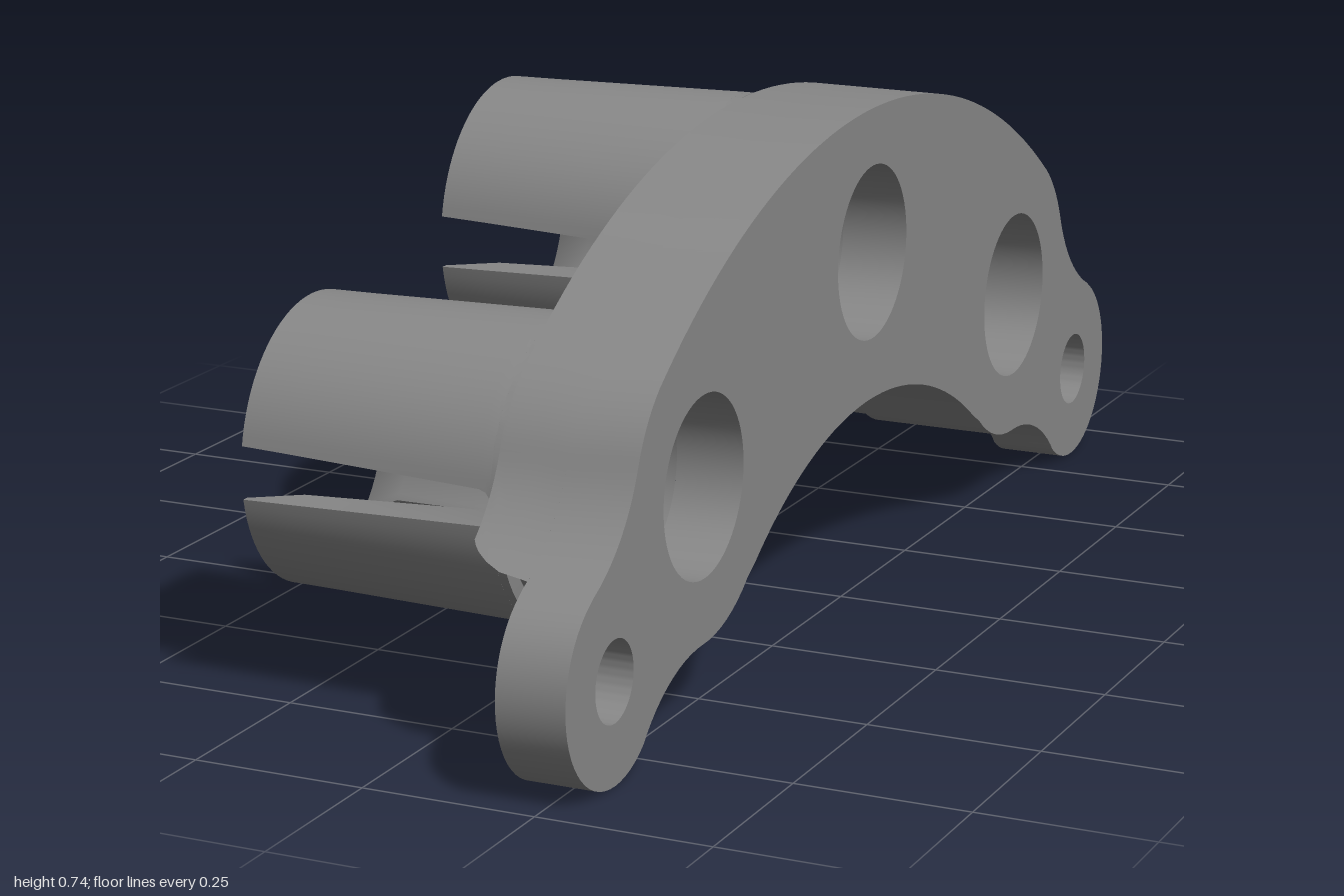
import * as THREE from 'three';
import { toCreasedNormals } from 'three/addons/utils/BufferGeometryUtils.js';

const RAD = Math.PI / 180;
const EAR = [0.857, 0.143], BOSS = [0.58, 0.33];
const BORES = [[-0.58, 0.33], [0, 0.525], [0.58, 0.33]];
const BORE_R = 0.128;
// concave blends between boss and ear
const TOP_BLEND = [1.017, 0.503], LOW_BLEND = [0.587, -0.14], BLEND_R = 0.25;

// points on an arc, angles in degrees
function arc([cx, cy], r, from, to, n) {
  return Array.from({ length: n + 1 }, (_, i) => {
    const a = (from + (to - from) * i / n) * RAD;
    return [cx + r * Math.cos(a), cy + r * Math.sin(a)];
  });
}
const angleFrom = (c, p) => Math.atan2(p[1] - c[1], p[0] - c[0]) / RAD;

// arched outline, counter-clockwise; with cutR the ears are scooped out
function outline(cutR) {
  let topEnd = 246.5, lowStart = 46, end;
  if (cutR) {
    const d = 0.393;
    const off = Math.acos(Math.min(1, (d * d + cutR * cutR - BLEND_R ** 2) / (2 * d * cutR))) / RAD;
    end = arc(EAR, cutR, 66.5 + off, 226 - off, 16);
    topEnd = angleFrom(TOP_BLEND, end[0]) + 360;
    lowStart = angleFrom(LOW_BLEND, end[16]);
  } else {
    end = arc(EAR, 0.143, 66.5, -134, 32);
  }
  const half = [
    ...arc([0, -0.473], 1.21, 90, 54.7, 24),
    ...arc(BOSS, 0.22, 55, 21.6, 8).slice(1),
    ...arc(TOP_BLEND, BLEND_R, 201.6, topEnd, 10).slice(1),
    ...end.slice(1, -1),
    ...arc(LOW_BLEND, BLEND_R, lowStart, 90.9, 10),
    ...arc(BOSS, 0.22, -89.1, -130, 8).slice(1),
    ...arc([0, -0.41], 0.717, 53, 90, 20).slice(1),
  ];
  const mirrored = half.slice(1, -1).map(([u, y]) => [-u, y]);
  // left side down, right side back up
  return [half[0], ...mirrored, ...half.slice(1).reverse()];
}

function shapeOf(points, holes) {
  const shape = new THREE.Shape(points.map(p => new THREE.Vector2(...p)));
  for (const [c, r] of holes) shape.holes.push(new THREE.Path().absarc(c[0], c[1], r, 0, Math.PI * 2, true));
  return shape;
}

// skin closed loops of equal length along z
function loft(sections, capStart) {
  const v = [];
  const quad = (a, b, c, d) => v.push(...a, ...b, ...c, ...a, ...c, ...d);
  for (let i = 0; i < sections.length - 1; i++) {
    const s = sections[i], t = sections[i + 1], n = s.length;
    for (let j = 0; j < n; j++) quad(s[j], s[(j + 1) % n], t[(j + 1) % n], t[j]);
  }
  if (capStart) { // closes an outer arc against its inner arc
    const s = sections[0], n = s.length;
    for (let j = 0; j < n / 2 - 1; j++) quad(s[j], s[n - 1 - j], s[n - 2 - j], s[j + 1]);
  }
  const g = new THREE.BufferGeometry();
  g.setAttribute('position', new THREE.Float32BufferAttribute(v, 3));
  return toCreasedNormals(g, 30 * RAD);
}

// stations along a tube: position, outer radius, inner radius, half slot width
const STATIONS = [
  [-0.297, 0.205, 0.195, 0.0375],
  [-0.23, 0.206, 0.156, 0.0355],
  [0.066, 0.2125, 0.14, 0.0255],
  [0.076, 0.2125, 0.139, 0.022],
  [0.081, 0.2125, 0.139, 0.016],
  [0.083, 0.2125, 0.139, 0.01],
  [0.083, 0.2125, 0.139, 0],
  [0.096, 0.213, 0.138, 0],
  [0.097, 0.19, 0.138, 0],
  [0.195, 0.19, BORE_R, 0],
];

// one third of a slotted tube, with parallel slot walls
function petal(start) {
  return loft(STATIONS.map(([z, ro, ri, h]) => {
    const ring = r => {
      const a = Math.asin(h / r) / RAD;
      return arc([0, 0], r, start + a, start + 120 - a, 24).map(p => [...p, z]);
    };
    return [...ring(ro), ...ring(ri).reverse()];
  }), true);
}

export function createModel() {
  const gray = new THREE.MeshStandardMaterial({ color: 0x888888 });
  gray.name = 'gray';
  const model = new THREE.Group();
  model.name = 'bracket';
  const add = (geometry, name, parent = model) => {
    const mesh = new THREE.Mesh(geometry, gray);
    mesh.name = name;
    parent.add(mesh);
    return mesh;
  };
  const bores = BORES.map(c => [c, BORE_R]);

  // face plate with mounting ears
  const earHoles = [-1, 1].map(s => [[s * EAR[0], EAR[1]], 0.057]);
  const plate = new THREE.ExtrudeGeometry(shapeOf(outline(), [...bores, ...earHoles]),
    { depth: 0.1, bevelEnabled: false, curveSegments: 32 });
  plate.translate(0, 0, 0.195);
  add(toCreasedNormals(plate, 30 * RAD), 'facePlate');

  // thick body with flared scoops around the ear holes
  const levels = [[0.095, 0.165], [0.1, 0.16], [0.108, 0.155], [0.125, 0.149], [0.15, 0.145], [0.195, 0.1435]];
  add(loft(levels.map(([z, r]) => outline(r).map(p => [...p, z]))), 'bodySides');
  const back = new THREE.ShapeGeometry(shapeOf(outline(levels[0][1]), bores), 32);
  back.index.array.reverse();
  back.computeVertexNormals();
  back.translate(0, 0, levels[0][0]);
  add(back, 'bodyBack');

  // three tapered tubes, each split by three slots
  const petals = [180, 300, 60].map(petal);
  BORES.forEach(([u, y]) => {
    const tube = new THREE.Group();
    tube.name = 'slottedTube';
    tube.position.set(u, y, 0);
    petals.forEach(g => add(g, 'tubeSegment', tube));
    model.add(tube);
  });

  // turn the extrusion axis to +x
  model.rotation.y = Math.PI / 2;
  const root = new THREE.Group();
  root.name = 'slottedTubeBracket';
  root.add(model);
  return root;
}
